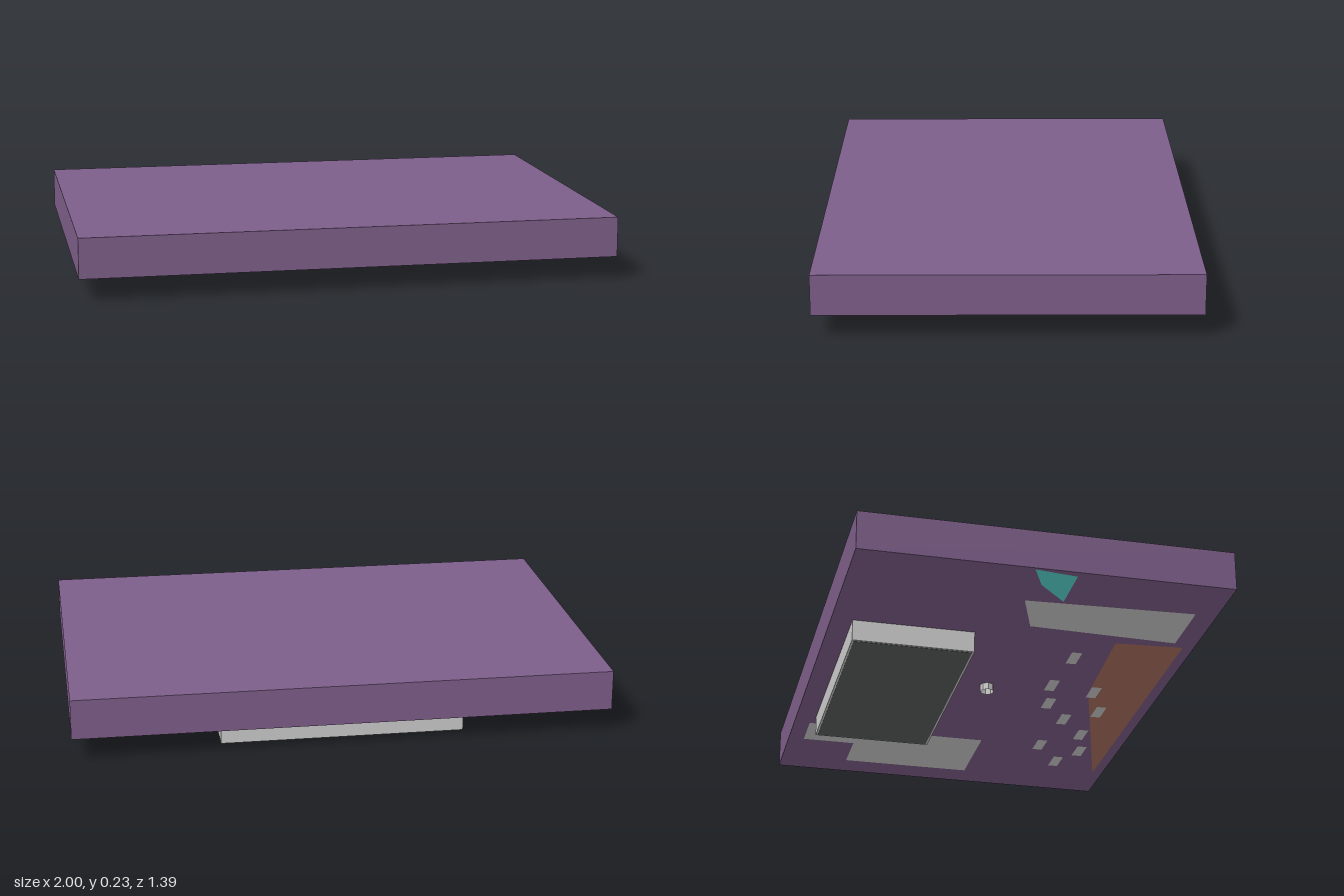
import * as THREE from 'three';

const GREY = 0xcccccc, PURPLE = 0x7d5e89, DARK = 0x5a5c5c;
const BROWN = 0xad7062, TEAL = 0x5addd8, RED = 0xc08080;
const SLAB_BOTTOM = 0.083, SLAB_TOP = 0.233;

function mat(color, side = THREE.FrontSide) {
  return new THREE.MeshStandardMaterial({ color, side, flatShading: true });
}

export function createModel() {
  const group = new THREE.Group();

  function add(name, geometry, material) {
    const mesh = new THREE.Mesh(geometry, material);
    mesh.name = name;
    group.add(mesh);
    return mesh;
  }

  // Box given by its minimum and maximum corners
  function box(name, [x0, y0, z0], [x1, y1, z1], color) {
    const mesh = add(name, new THREE.BoxGeometry(x1 - x0, y1 - y0, z1 - z0), mat(color));
    mesh.position.set((x0 + x1) / 2, (y0 + y1) / 2, (z0 + z1) / 2);
  }

  // Flat polygon lying just under the slab, outlined by [x, z] points
  function patch(name, points, color, drop = 0.001) {
    const shape = new THREE.Shape(points.map(([x, z]) => new THREE.Vector2(x, z)));
    const geometry = new THREE.ShapeGeometry(shape).rotateX(Math.PI / 2);
    add(name, geometry, mat(color, THREE.DoubleSide)).position.y = SLAB_BOTTOM - drop;
  }

  const rect = (x0, x1, z0, z1) => [[x0, z0], [x1, z0], [x1, z1], [x0, z1]];

  // Main slab
  box('slab', [-1, SLAB_BOTTOM, -0.693], [1, SLAB_TOP, 0.693], PURPLE);

  // Raised housing under the back half, with a dark base inside a thin rim
  box('housing', [-0.453, 0.001, -0.613], [0.453, SLAB_BOTTOM, -0.15], GREY);
  box('housingBase', [-0.445, 0, -0.605], [0.445, 0.002, -0.158], DARK);

  // Small central socket: wall and recessed floor
  const socket = new THREE.CylinderGeometry(0.027, 0.027, 0.028, 8, 1, true);
  add('socket', socket, mat(GREY, THREE.DoubleSide)).position.y = 0.069;

  // Thin panels on the underside
  patch('largePanel', rect(0.54, 0.88, -0.42, 0.1), GREY);
  patch('cornerPanel', rect(0.52, 0.69, -0.63, -0.42), GREY);
  patch('redPanel', rect(0.46, 0.54, -0.55, -0.32), RED, 0.0015);
  patch('sidePanel', [[-0.55, 0.04], [-0.75, -0.03], [-0.78, 0.61], [-0.53, 0.61]], GREY);
  patch('tealPanel', [[-0.99, -0.05], [-0.97, 0.11], [-0.77, 0.11], [-0.88, 0]], TEAL);
  patch('brownPanel', [[0.78, 0.65], [-0.5, 0.65], [-0.48, 0.39], [-0.02, 0.41]], BROWN);

  // Scattered small marks along the front
  const marks = [
    [0.69, 0.46], [0.53, 0.35], [0.56, 0.53], [0.39, 0.49], [0.25, 0.38],
    [0.15, 0.5], [0.11, 0.28], [-0.03, 0.43], [-0.06, 0.25], [-0.32, 0.27],
  ];
  for (const [x, z] of marks) {
    patch('smallMark', rect(x - 0.05, x + 0.05, z - 0.02, z + 0.02), GREY, 0.002);
  }

  return group;
}
